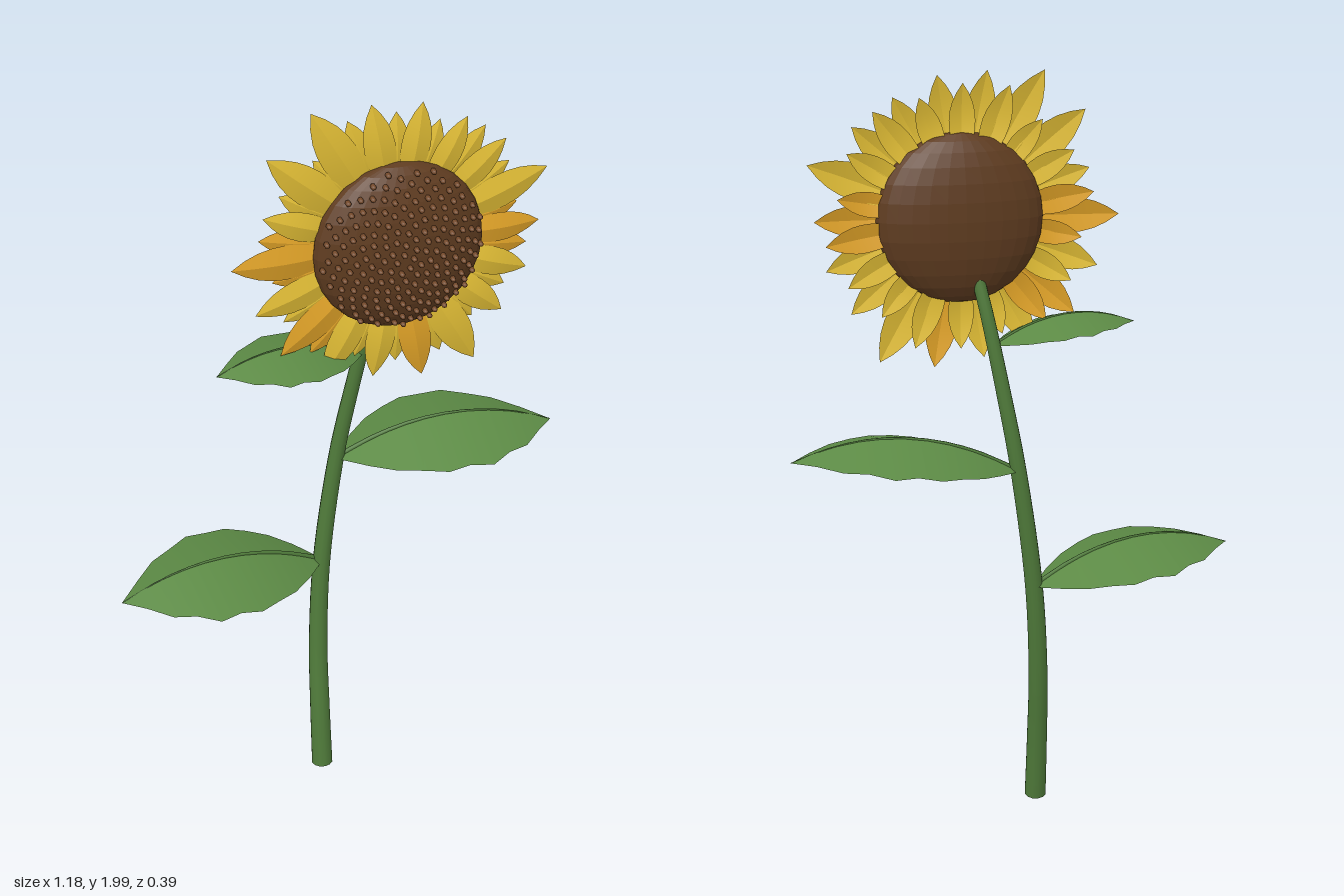
import * as THREE from 'three';
import { mergeGeometries, toCreasedNormals } from 'three/addons/utils/BufferGeometryUtils.js';

const mat = (name, color, side = THREE.FrontSide) =>
  Object.assign(new THREE.MeshStandardMaterial({ color, side }), { name });

// Thin folded blade: for each t in 0..1, a midrib point plus a drooping edge on either side
function blade(widths, mid, droop) {
  const pos = [], idx = [];
  widths.forEach((w, i) => {
    const [x, y, z] = mid(i / (widths.length - 1));
    pos.push(x, y - droop * w, z - w, x, y, z, x, y - droop * w, z + w);
    if (i === 0) return;
    const a = (i - 1) * 3, b = i * 3;
    for (const k of [0, 1]) idx.push(a + k, a + k + 1, b + k, a + k + 1, b + k + 1, b + k);
  });
  const g = new THREE.BufferGeometry();
  g.setAttribute('position', new THREE.Float32BufferAttribute(pos, 3));
  g.setIndex(idx);
  return toCreasedNormals(g, 0.35);
}

// Tube whose radius tapers from r0 to r1
function taperedTube(curve, steps, sides, r0, r1) {
  const g = new THREE.TubeGeometry(curve, steps, 1, sides);
  const p = g.attributes.position, v = new THREE.Vector3(), c = new THREE.Vector3();
  for (let i = 0; i < p.count; i++) {
    const t = Math.floor(i / (sides + 1)) / steps;
    curve.getPointAt(t, c);
    v.fromBufferAttribute(p, i).sub(c).multiplyScalar(r0 + (r1 - r0) * t).add(c);
    p.setXYZ(i, v.x, v.y, v.z);
  }
  return g;
}

export function createModel() {
  const group = new THREE.Group();
  const stemGreen = mat('stem green', 0x4f7a3a);
  const leafGreen = mat('leaf green', 0x5c8a45, THREE.DoubleSide);
  const yellow = mat('petal yellow', 0xe3bf36, THREE.DoubleSide);
  const orange = mat('petal orange', 0xe2a428, THREE.DoubleSide);
  const brown = mat('disc brown', 0x5f3c20);
  const seedBrown = mat('seed brown', 0x74492a);
  const add = (name, geo, material, parent = group) => {
    const m = new THREE.Mesh(geo, material);
    m.name = name;
    parent.add(m);
    return m;
  };

  // Curving stem with a closed foot
  const stemCurve = new THREE.CatmullRomCurve3([
    [-0.055, 0.008, 0.05], [-0.053, 0.2, 0.026], [-0.047, 0.4, -0.005], [-0.028, 0.67, -0.03],
    [0.016, 1.0, -0.036], [0.05, 1.2, -0.021], [0.086, 1.4, 0.004], [0.11, 1.52, 0.03],
  ].map(p => new THREE.Vector3(...p)));
  add('stem', taperedTube(stemCurve, 28, 12, 0.03, 0.016), stemGreen);
  const foot = add('stemFoot', new THREE.CircleGeometry(0.03, 12), stemGreen);
  foot.position.copy(stemCurve.getPointAt(0));
  foot.lookAt(foot.position.clone().sub(stemCurve.getTangentAt(0)));

  // Serrated, arched leaves with a raised midrib
  const leafWidths = [0.012, 0.078, 0.13, 0.16, 0.187, 0.18, 0.189, 0.149, 0.122, 0.06, 0];
  const leaves = [
    { name: 'lowerLeaf', base: [-0.03, 0.675, -0.035], tip: [-0.59, 0.717, 0.035], size: 1 },
    { name: 'middleLeaf', base: [0.02, 1.0, -0.035], tip: [0.59, 1.043, 0.035], size: 1 },
    { name: 'upperLeaf', base: [0.07, 1.325, 0.0], tip: [-0.315, 1.352, 0.045], size: 0.67 },
  ];
  for (const { name, base, tip, size } of leaves) {
    const leaf = new THREE.Group();
    leaf.name = name;
    group.add(leaf);
    const mid = t => {
      const p = base.map((b, i) => b + (tip[i] - b) * t);
      p[1] += 0.3 * size * t * (1 - t);
      return p;
    };
    add('leafBlade', blade(leafWidths.map(w => w * size), mid, 0.26), leafGreen, leaf);
    const rib = new THREE.CatmullRomCurve3(
      [0, 0.2, 0.4, 0.6, 0.8, 1].map(t => new THREE.Vector3(...mid(t))));
    add('leafMidrib', taperedTube(rib, 12, 6, 0.007 * size, 0.001), stemGreen, leaf);
  }

  // Flower head
  const head = new THREE.Group();
  head.name = 'flowerHead';
  head.position.set(0.14, 1.64, 0.058);
  group.add(head);
  const R = 0.213, D = 0.075;

  const disc = new THREE.SphereGeometry(1, 28, 14).scale(R, R, D).toNonIndexed();
  disc.computeVertexNormals();
  add('disc', disc, brown, head);

  // Seeds spiral over the front of the disc
  const seeds = [];
  const count = 190;
  for (let i = 0; i < count; i++) {
    const r = 0.204 * Math.sqrt((i + 0.5) / count), a = i * 2.39996;
    const z = D * Math.sqrt(1 - (r / R) ** 2);
    seeds.push(new THREE.SphereGeometry(1, 6, 5).rotateX(Math.PI / 2)
      .scale(0.0075, 0.0075, 0.012).translate(r * Math.cos(a), r * Math.sin(a), z + 0.004));
  }
  add('seeds', mergeGeometries(seeds), seedBrown, head);

  // Two rings of pointed petals, 20 degrees apart
  const petalShape = [0.07, 0.11, 0.145, 0.165, 0.172, 0.162, 0.132, 0.078, 0];
  function petal(name, angle, reach, z, material) {
    const start = 0.15, len = reach - start;
    const mid = t => [start + len * t, 0.012 * Math.sin(Math.PI * t) - 0.004, 0];
    const g = blade(petalShape.map(w => w * (len * 0.85 + 0.04)), mid, 0.22).rotateX(Math.PI / 2);
    const m = add(name, g, material, head);
    m.position.z = z;
    m.rotation.z = THREE.MathUtils.degToRad(angle);
  }
  const reaches = [0.366, 0.405, 0.354, 0.343, 0.354, 0.365, 0.415, 0.41, 0.35,
    0.41, 0.38, 0.39, 0.38, 0.363, 0.384, 0.414, 0.362, 0.36];
  const orangeFront = [0, 9, 11, 14], orangeBack = [0, 8, 9, 11, 17];
  reaches.forEach((reach, i) => {
    petal('frontPetal', i * 20 + 1, reach, -0.004, orangeFront.includes(i) ? orange : yellow);
    petal('backPetal', i * 20 + 11, 0.315 + 0.015 * (i % 3), -0.014,
      orangeBack.includes(i) ? orange : yellow);
  });

  return group;
}
